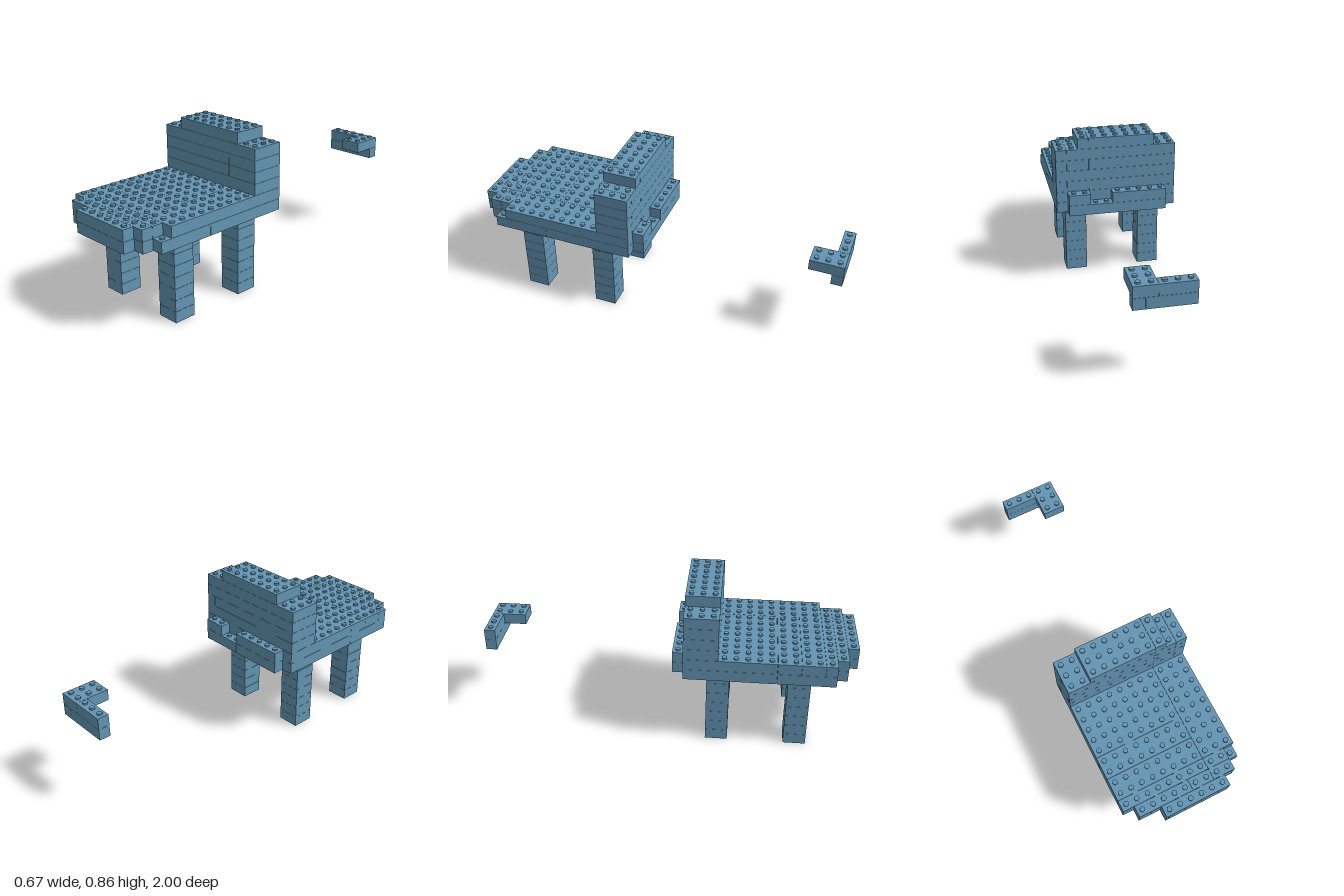
import * as THREE from 'three';
import { mergeGeometries } from 'three/addons/utils/BufferGeometryUtils.js';

const U = 2 / 33;      // one grid cell, also one brick height
const GAP = 0.001;     // seam between neighbouring bricks
const STUD_R = 0.0135, STUD_H = 0.0095;

// Each brick: [first x cell, last x cell, first z cell, last z cell, layer]
const parts = {
  seatBase: [
    [-5, 2, 2, 9, 7], [-5, 2, 10, 14, 7], [3, 5, 2, 9, 7], [3, 5, 10, 14, 7],
    [-4, 0, 1, 1, 7], [1, 4, 1, 1, 7],
    [-4, -3, 15, 15, 7], [-2, 3, 15, 16, 7], [4, 4, 15, 15, 7],
  ],
  seatTop: [
    [-5, 2, 2, 9, 8], [-5, 2, 10, 11, 8], [-5, 2, 12, 13, 8], [-5, 2, 14, 14, 8],
    [3, 5, 2, 13, 8], [3, 4, 14, 14, 8],
    [-4, 0, 1, 1, 8], [3, 4, 1, 1, 8],
    [-4, 0, 15, 15, 8], [1, 2, 15, 15, 8], [3, 4, 15, 15, 8], [-2, 3, 16, 16, 8],
  ],
  backrest: [[-3, 2, 2, 4, 13], [3, 3, 2, 4, 13]],
  looseBricks: [
    [-2, 1, -16, -16, 7], [2, 2, -16, -16, 7],
    [-2, 0, -16, -16, 8], [1, 2, -16, -14, 8],
  ],
};

// Four full-width backrest courses
for (let j = 9; j <= 12; j++) {
  parts.backrest.push([-5, 2, 2, 4, j], [3, 4, 2, 4, j], [5, 5, 2, 4, j]);
}

// Four legs of seven stacked bricks
for (const [name, x, z] of [
  ['frontLeftLeg', 3, 11], ['frontRightLeg', -4, 11],
  ['backLeftLeg', 3, 4], ['backRightLeg', -4, 4],
]) {
  parts[name] = [];
  for (let j = 0; j < 7; j++) parts[name].push([x, x + 1, z, z + 1, j]);
}

function forCells([x0, x1, z0, z1, j], fn) {
  for (let x = x0; x <= x1; x++) for (let z = z0; z <= z1; z++) fn(x, z, j);
}

function brickGeometry([x0, x1, z0, z1, j]) {
  const g = new THREE.BoxGeometry((x1 - x0 + 1) * U - GAP, U - GAP, (z1 - z0 + 1) * U - GAP);
  return g.translate((x0 + x1) / 2 * U, (j + 0.5) * U - GAP / 2, (z0 + z1) / 2 * U);
}

function studGeometry(x, z, j) {
  const g = new THREE.CylinderGeometry(STUD_R, STUD_R, STUD_H, 12);
  return g.translate(x * U, (j + 1) * U - GAP + STUD_H / 2, z * U);
}

export function createModel() {
  const group = new THREE.Group();
  group.name = 'brickChair';
  const blue = new THREE.MeshStandardMaterial({ color: 0x6495b3 });
  blue.name = 'brickBlue';

  // Cells in use, so studs go only on uncovered tops
  const filled = new Set();
  for (const bricks of Object.values(parts)) {
    for (const b of bricks) forCells(b, (x, z, j) => filled.add(`${x},${z},${j}`));
  }

  for (const [name, bricks] of Object.entries(parts)) {
    const part = new THREE.Group();
    part.name = name;
    const body = new THREE.Mesh(mergeGeometries(bricks.map(brickGeometry)), blue);
    body.name = name + 'Bricks';
    part.add(body);

    const studs = [];
    for (const b of bricks) {
      forCells(b, (x, z, j) => {
        if (!filled.has(`${x},${z},${j + 1}`)) studs.push(studGeometry(x, z, j));
      });
    }
    if (studs.length) {
      const mesh = new THREE.Mesh(mergeGeometries(studs), blue);
      mesh.name = name + 'Studs';
      part.add(mesh);
    }
    group.add(part);
  }
  return group;
}
